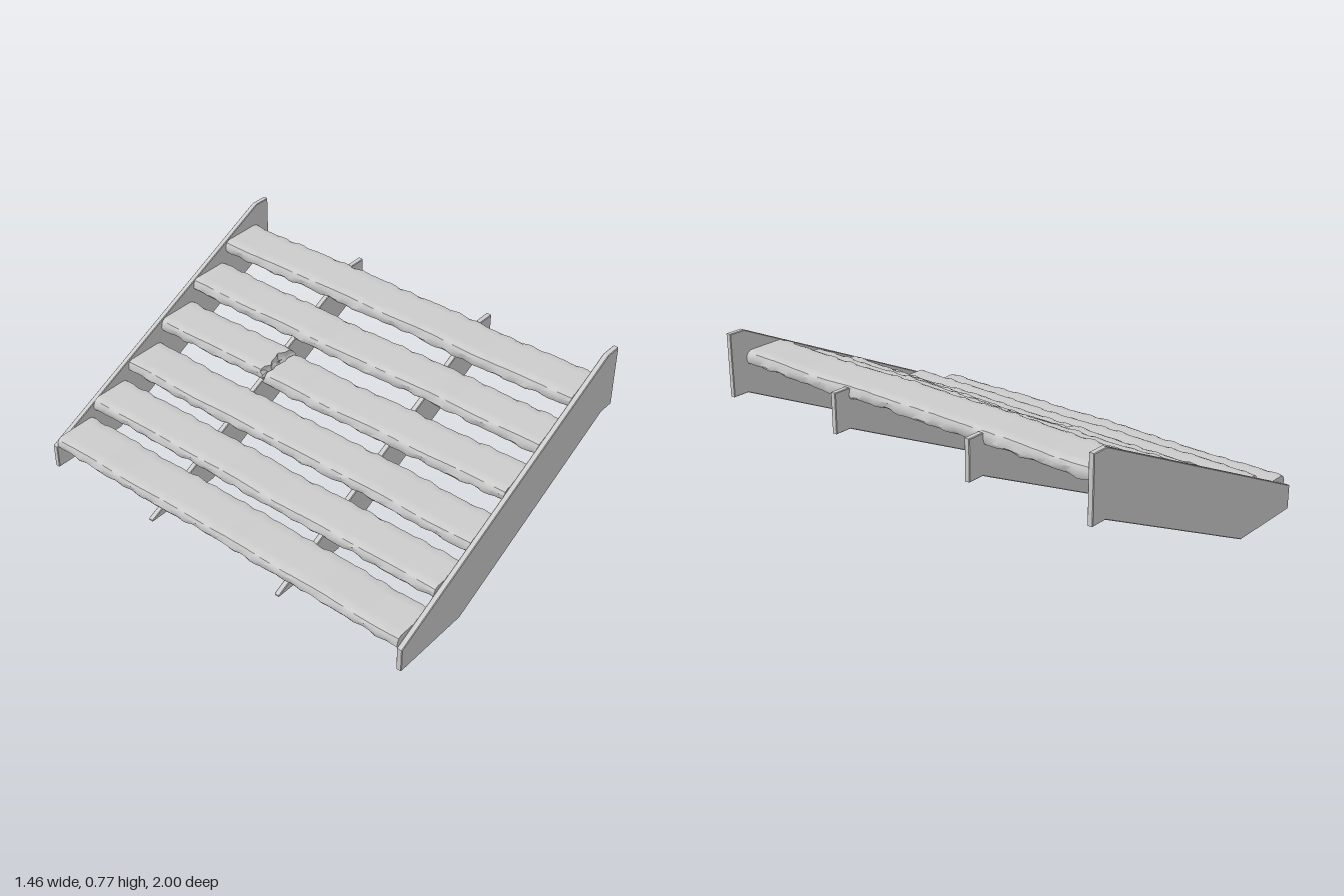
import * as THREE from 'three';
import { toCreasedNormals } from 'three/addons/utils/BufferGeometryUtils.js';

const material = new THREE.MeshStandardMaterial({ color: 0xcccccc });

// Upright board cut from a side profile, centred on z
function sawnBoard(name, outline, z, thickness) {
  const bevel = 0.003;
  const shape = new THREE.Shape(outline.map(([x, y]) => new THREE.Vector2(x, y)));
  const geometry = new THREE.ExtrudeGeometry(shape, {
    depth: thickness - 2 * bevel, bevelEnabled: true, bevelSegments: 1,
    bevelSize: bevel, bevelThickness: bevel, bevelOffset: -bevel,
  });
  geometry.translate(0, 0, z - thickness / 2 + bevel);
  const mesh = new THREE.Mesh(geometry, material);
  mesh.name = name;
  return mesh;
}

// Smooth waviness plus finer chipping along the length of a plank
const wave = (z, s) => 0.6 * Math.sin(4.3 * z + s * 2.1) + 0.4 * Math.sin(9.7 * z + s * 5.3);
const chip = (z, s) => Math.sin(31 * z + s * 3.7) * Math.sin(17 * z + s) + 0.5 * Math.sin(67 * z + s * 7.9);

// Worn plank running along z; sag(z) lowers it, ragged(x) breaks its back end
function plank(name, [x0, x1, y0, y1], [z0, z1], seed, sag = () => 0, ragged = () => 0) {
  const w = x1 - x0, h = y1 - y0, l = z1 - z0;
  const geometry = new THREE.BoxGeometry(w, h, l, 8, 3, Math.ceil(l * 36));
  const p = geometry.attributes.position;
  for (let i = 0; i < p.count; i++) {
    const u = p.getX(i) / w * 2, v = p.getY(i) / h * 2;
    let z = p.getZ(i) + (z0 + z1) / 2;
    const edge = Math.abs(u) > 0.99, face = Math.abs(v) > 0.99;
    const s = seed + (u > 0 ? 1.7 : 0) + (v > 0 ? 0.9 : 0);
    let x = (x0 + x1) / 2 + u * w / 2;
    let y = (y0 + y1) / 2 + v * h / 2;
    // chipped long edges, with rounded corners
    if (edge) x -= Math.sign(u) * (0.004 + 0.003 * chip(z, s) + (face ? 0.007 : 0));
    if (edge && face) y -= Math.sign(v) * (0.007 + 0.003 * chip(z, s + 4));
    // gentle warp, rougher underneath
    y += 0.005 * wave(z, seed) - 0.003;
    if (v < -0.99) y += 0.004 + 0.004 * chip(z * 0.6 + u * 0.05, s);
    y -= sag(z);
    if (z - z0 < 1e-4) z += ragged(u, v);
    p.setXYZ(i, x, y, z);
  }
  const mesh = new THREE.Mesh(toCreasedNormals(geometry, 0.6), material);
  mesh.name = name;
  return mesh;
}

export function createModel() {
  const model = new THREE.Group();
  model.name = 'woodenStairs';

  // Outer side panels
  const panel = [[-0.73, 0], [-0.34, 0], [0.65, 0.475], [0.73, 0.475], [0.73, 0.77], [0.65, 0.77], [-0.73, 0.115]];
  model.add(sawnBoard('leftSidePanel'.replace('left', 'front'), panel, 0.987, 0.026));
  model.add(sawnBoard('backSidePanel', panel, -0.987, 0.026));

  // Lower inner stringers, tapering to a point at the ground
  const stringer = [[-0.725, 0], [-0.34, 0], [0.65, 0.475], [0.73, 0.475], [0.73, 0.66], [0.65, 0.66], [-0.725, 0.007]];
  for (const z of [0.345, -0.39]) model.add(sawnBoard('innerStringer', stringer, z, 0.026));

  // Treads: x range, y range
  const treads = [
    [-0.73, -0.495, 0.1, 0.167],
    [-0.495, -0.275, 0.185, 0.253],
    [-0.262, -0.038, 0.268, 0.337],
    [-0.038, 0.19, 0.388, 0.457],
    [0.19, 0.415, 0.493, 0.562],
    [0.418, 0.652, 0.602, 0.672],
  ];
  treads.forEach((t, i) => {
    if (i !== 3) {
      model.add(plank('tread', t, [-0.972, 0.972], i * 1.3 + 0.5));
      return;
    }
    // Snapped tread: long part sags at the break, short part ends ragged
    model.add(plank('brokenTreadLong', t, [-0.325, 0.972], 4.4,
      (z) => 0.02 * THREE.MathUtils.smoothstep(-z, -0.9, 0.32),
      (u, v) => 0.004 * Math.sin(u * 9) - (v < 0 ? 0.012 : 0)));
    const short = plank('brokenTreadShort', t, [-0.972, -0.34], 4.4);
    const p = short.geometry.attributes.position;
    for (let k = 0; k < p.count; k++) {
      if (p.getZ(k) < -0.3401) continue;
      const x = p.getX(k);
      p.setZ(k, -0.35 + 0.014 * Math.sin(x * 38 + 1) + 0.006 * Math.sin(x * 110)
        + (p.getY(k) < 0.42 ? 0.014 : 0));
    }
    short.geometry = toCreasedNormals(short.geometry, 0.6);
    model.add(short);
  });

  // Splinter left standing in the break
  const splinter = new THREE.Mesh(new THREE.ConeGeometry(0.016, 0.15, 4).toNonIndexed(), material);
  splinter.geometry.computeVertexNormals();
  splinter.rotation.z = -Math.PI / 2;
  splinter.position.set(0.04, 0.43, -0.35);
  splinter.name = 'splinter';
  model.add(splinter);

  return model;
}
